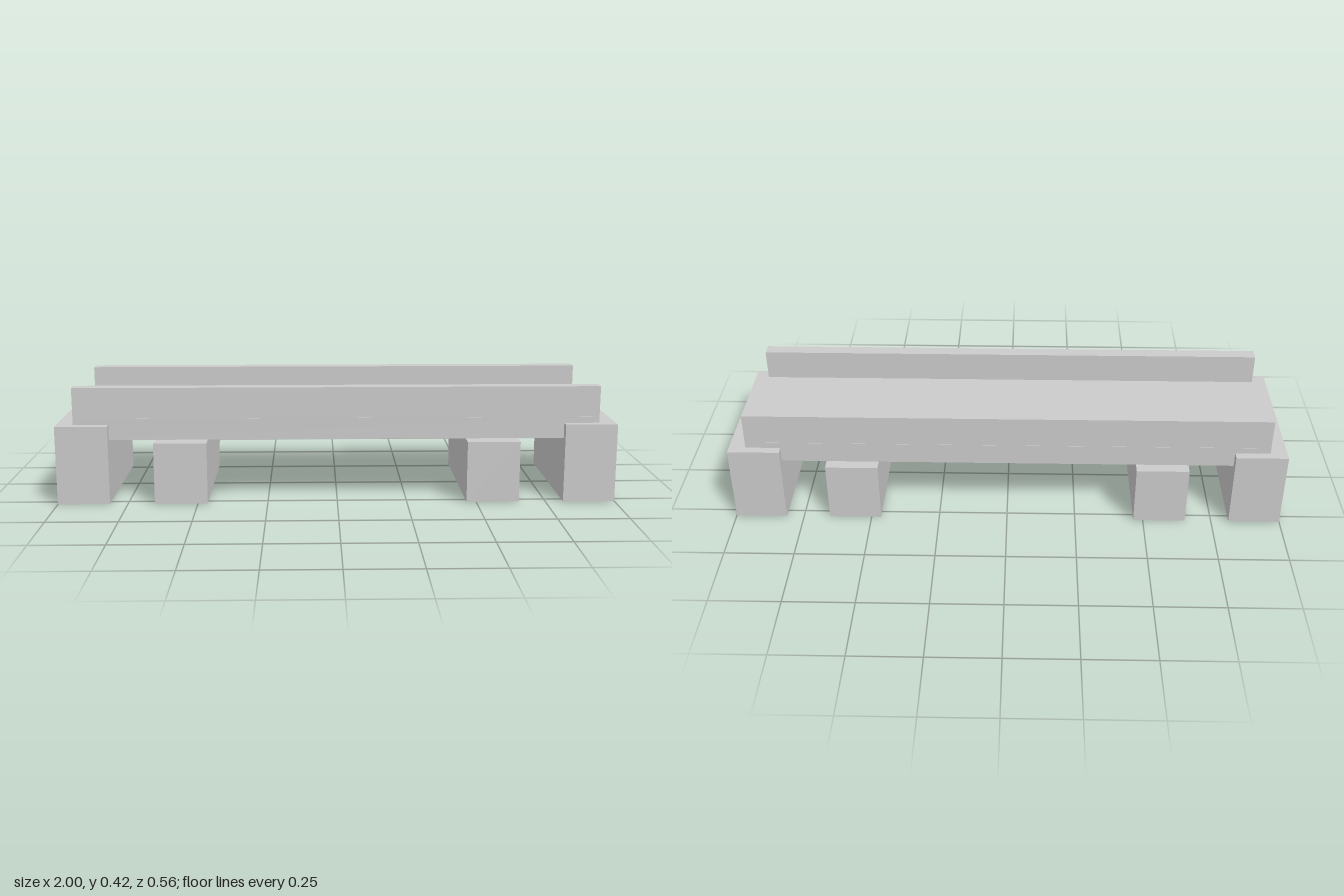
import * as THREE from 'three';

const material = new THREE.MeshStandardMaterial({ color: 0xcccccc, flatShading: true });

// Box given by its minimum and maximum along each axis
function block(name, [x0, x1], [y0, y1], [z0, z1]) {
  const mesh = new THREE.Mesh(new THREE.BoxGeometry(x1 - x0, y1 - y0, z1 - z0), material);
  mesh.position.set((x0 + x1) / 2, (y0 + y1) / 2, (z0 + z1) / 2);
  mesh.name = name;
  return mesh;
}

export function createModel() {
  const bridge = new THREE.Group();
  bridge.name = 'bridge';

  // Flat deck, resting in the end abutments
  const halfLength = 0.94;
  bridge.add(block('deck', [-halfLength, halfLength], [0.228, 0.305], [-0.251, 0.251]));

  for (const [side, label] of [[1, 'left'], [-1, 'right']]) {
    const span = (a, b) => (side > 0 ? [a, b] : [-b, -a]);

    // End abutment and inner pier, both wider than the deck
    bridge.add(block(`${label}Abutment`, span(0.814, 1), [0, 0.283], [-0.282, 0.282]));
    bridge.add(block(`${label}Pier`, span(0.465, 0.654), [0, 0.221], [-0.282, 0.282]));

    // Parapet along one long edge of the deck
    const parapet = side > 0 ? 'frontParapet' : 'backParapet';
    bridge.add(block(parapet, [-halfLength, halfLength], [0.305, 0.416], span(0.202, 0.25)));
  }

  return bridge;
}
